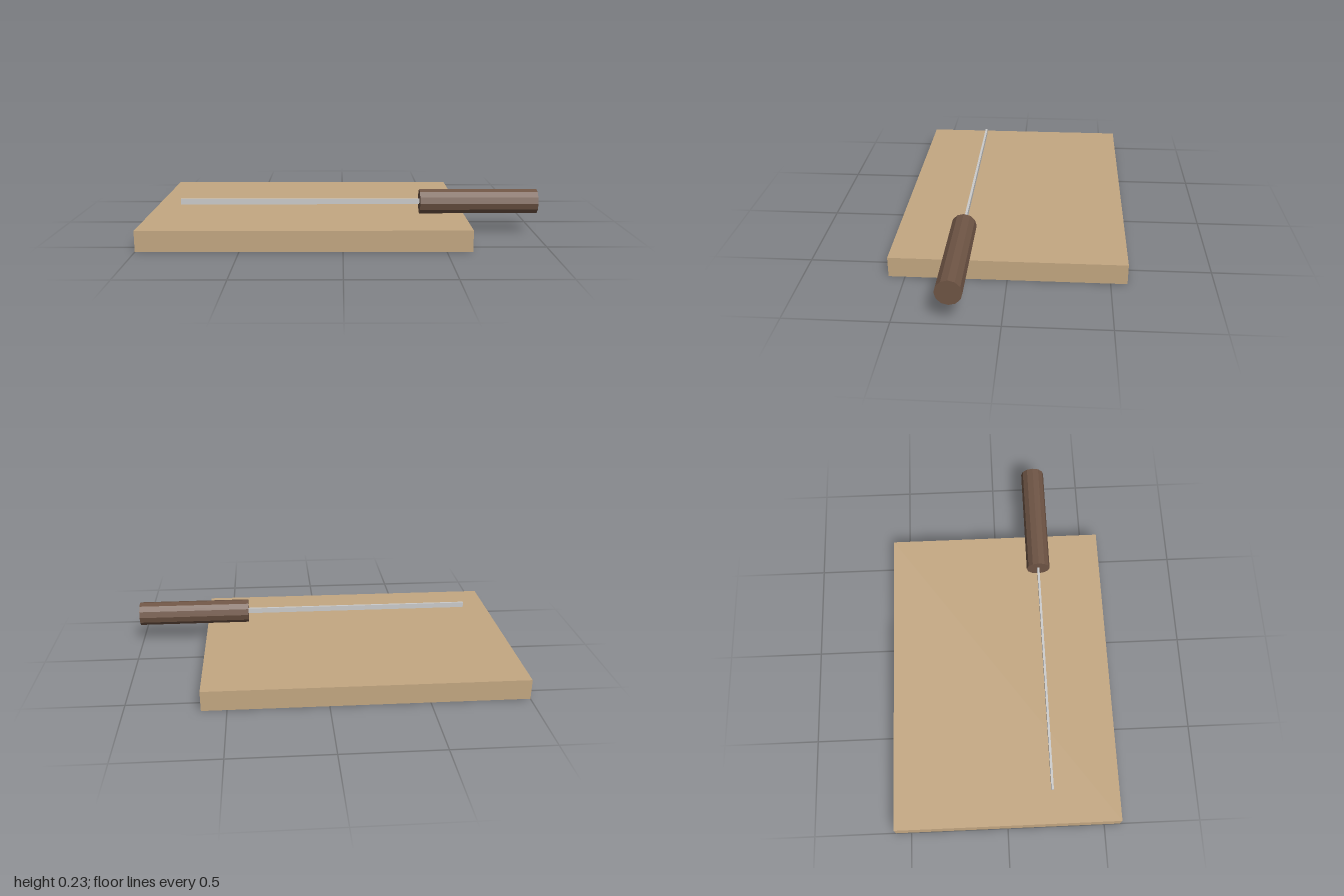
import * as THREE from 'three';

const material = (color) => new THREE.MeshStandardMaterial({ color, flatShading: true });

function addPart(group, name, geometry, color, x, y, z) {
  const mesh = new THREE.Mesh(geometry, material(color));
  mesh.name = name;
  mesh.position.set(x, y, z);
  group.add(mesh);
  return mesh;
}

export function createModel() {
  const model = new THREE.Group();
  model.name = 'cuttingBoardWithKnife';

  // Flat board resting on the ground
  const boardTop = 0.105;
  addPart(model, 'board', new THREE.BoxGeometry(1.626, boardTop, 1.162), 0xc4a882, -0.187, boardTop / 2, 0);

  // Knife lying along x, its handle overhanging the board's edge
  const knife = new THREE.Group();
  knife.name = 'knife';
  const radius = 0.064;
  knife.position.set(0, boardTop + radius, 0.232);
  model.add(knife);

  // Twelve-sided handle
  const handle = new THREE.CylinderGeometry(radius, radius, 0.604, 12).rotateZ(Math.PI / 2);
  addPart(knife, 'handle', handle, 0x6f5545, 0.698, 0, 0);

  // Slim blade, running slightly into the handle
  addPart(knife, 'blade', new THREE.BoxGeometry(1.25, 0.028, 0.012), 0xcccccc, -0.212, 0, 0);

  return model;
}
